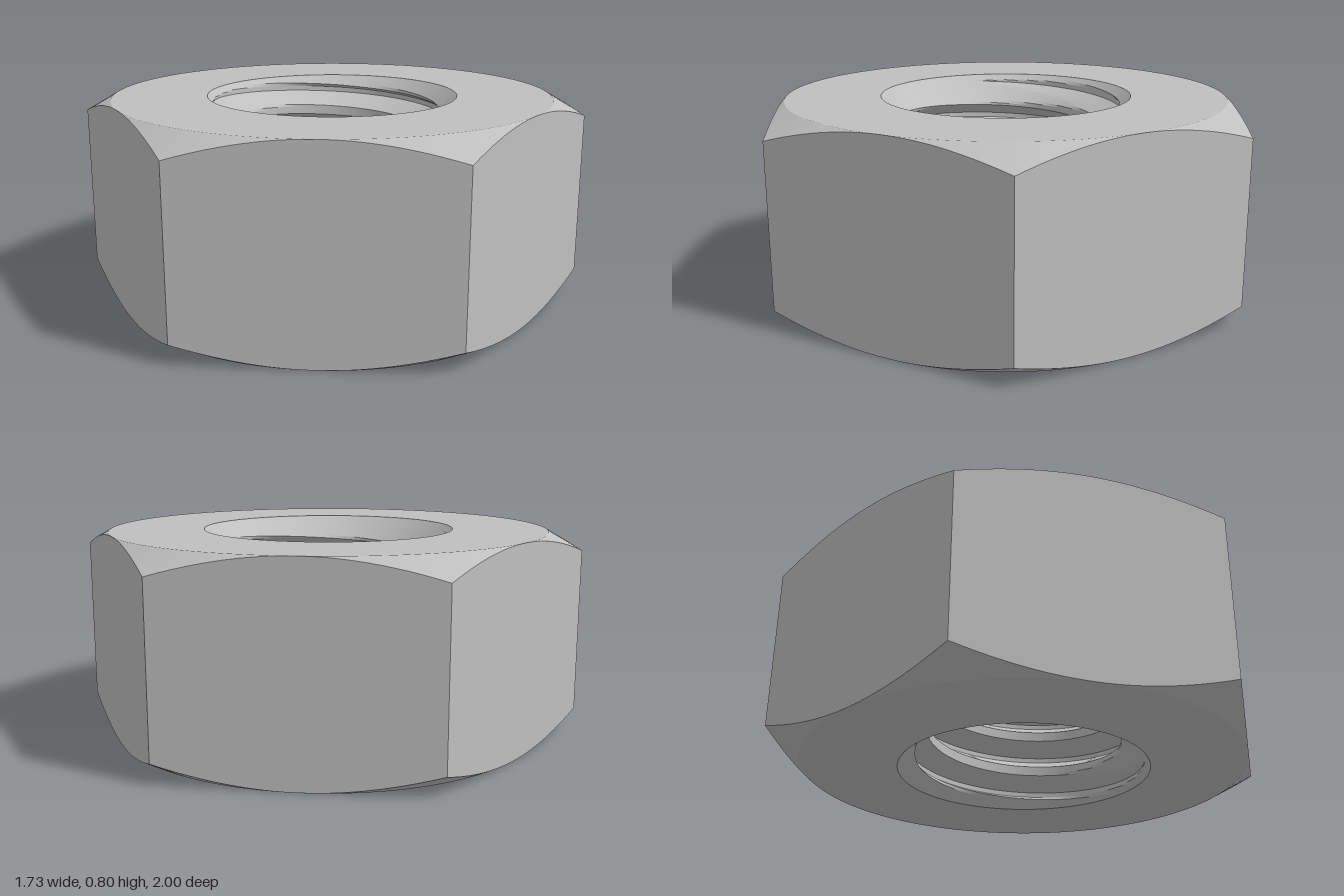
import * as THREE from 'three';
import { toCreasedNormals } from 'three/addons/utils/BufferGeometryUtils.js';

const HEIGHT = 0.795;
const FLAT = Math.sqrt(3) / 2;   // centre to a flat side
const RIM = 0.495;               // bore radius at both faces
const CREST = 0.385;             // smallest thread radius
const PITCH = 0.16;
const SEGMENTS = 144;
const SUBDIVISIONS = 4;

// Thread section over one pitch, going downwards: [depth, radius]
const THREAD = [[0, CREST], [0.05, 0.4716], [0.07, 0.4716], [0.12, CREST], [PITCH, CREST]];

// Skins a surface around the y axis; section(angle) returns a list of [radius, y].
// Sections run so that the outside lies on their left when seen in the radius-y plane.
function sweepAround(section) {
  const columns = [];
  for (let i = 0; i <= SEGMENTS; i++) {
    const angle = (i / SEGMENTS) * Math.PI * 2;
    const turn = i === SEGMENTS ? 0 : angle;
    columns.push(section(angle).map(([r, y]) =>
      new THREE.Vector3(r * Math.cos(turn), y, -r * Math.sin(turn))));
  }
  const positions = [];
  const addTriangle = (a, b, c) => {
    const area = b.clone().sub(a).cross(c.clone().sub(a)).length();
    if (area > 1e-9) for (const p of [a, b, c]) positions.push(p.x, p.y, p.z);
  };
  for (let i = 0; i < SEGMENTS; i++) {
    const here = columns[i], next = columns[i + 1];
    for (let j = 0; j < here.length - 1; j++) {
      addTriangle(here[j], here[j + 1], next[j + 1]);
      addTriangle(here[j], next[j + 1], next[j]);
    }
  }
  const geometry = new THREE.BufferGeometry();
  geometry.setAttribute('position', new THREE.Float32BufferAttribute(positions, 3));
  return toCreasedNormals(geometry, 0.2);
}

// Hexagon with corners on the z axis, its corners cut by a 30 degree cone
function bodySection(angle) {
  const sector = Math.PI / 3;
  const offset = angle - Math.round(angle / sector) * sector;
  const r = FLAT / Math.cos(offset);
  const drop = (r - FLAT) * 0.58;
  return [
    [RIM, HEIGHT], [FLAT, HEIGHT], [r, HEIGHT - drop],
    [r, drop], [FLAT, 0], [RIM, 0],
  ];
}

// Right-handed helical thread, opened by a 45 degree countersink at both ends
function boreSection(angle) {
  const start = 0.74 + PITCH * angle / (Math.PI * 2);
  const points = [];
  for (let turn = 5; turn >= -1; turn--) {
    for (let s = THREAD.length - 1; s > 0; s--) {
      const [lowDepth, lowRadius] = THREAD[s];
      const [highDepth, highRadius] = THREAD[s - 1];
      for (let k = 0; k < SUBDIVISIONS; k++) {
        const f = k / SUBDIVISIONS;
        const depth = THREE.MathUtils.lerp(lowDepth, highDepth, f);
        const radius = THREE.MathUtils.lerp(lowRadius, highRadius, f);
        const y = THREE.MathUtils.clamp(start - turn * PITCH - depth, 0, HEIGHT);
        points.push([Math.max(radius, RIM - y, RIM - (HEIGHT - y)), y]);
      }
    }
  }
  // Close the last turn at the top rim
  points.push([RIM, HEIGHT]);
  return points;
}

export function createModel() {
  const steel = new THREE.MeshStandardMaterial({ color: 0xbfbfbf });
  steel.name = 'steel grey';

  const nut = new THREE.Group();
  nut.name = 'hexNut';
  for (const [name, section] of [['hexBody', bodySection], ['threadedBore', boreSection]]) {
    const mesh = new THREE.Mesh(sweepAround(section), steel);
    mesh.name = name;
    nut.add(mesh);
  }
  return nut;
}
